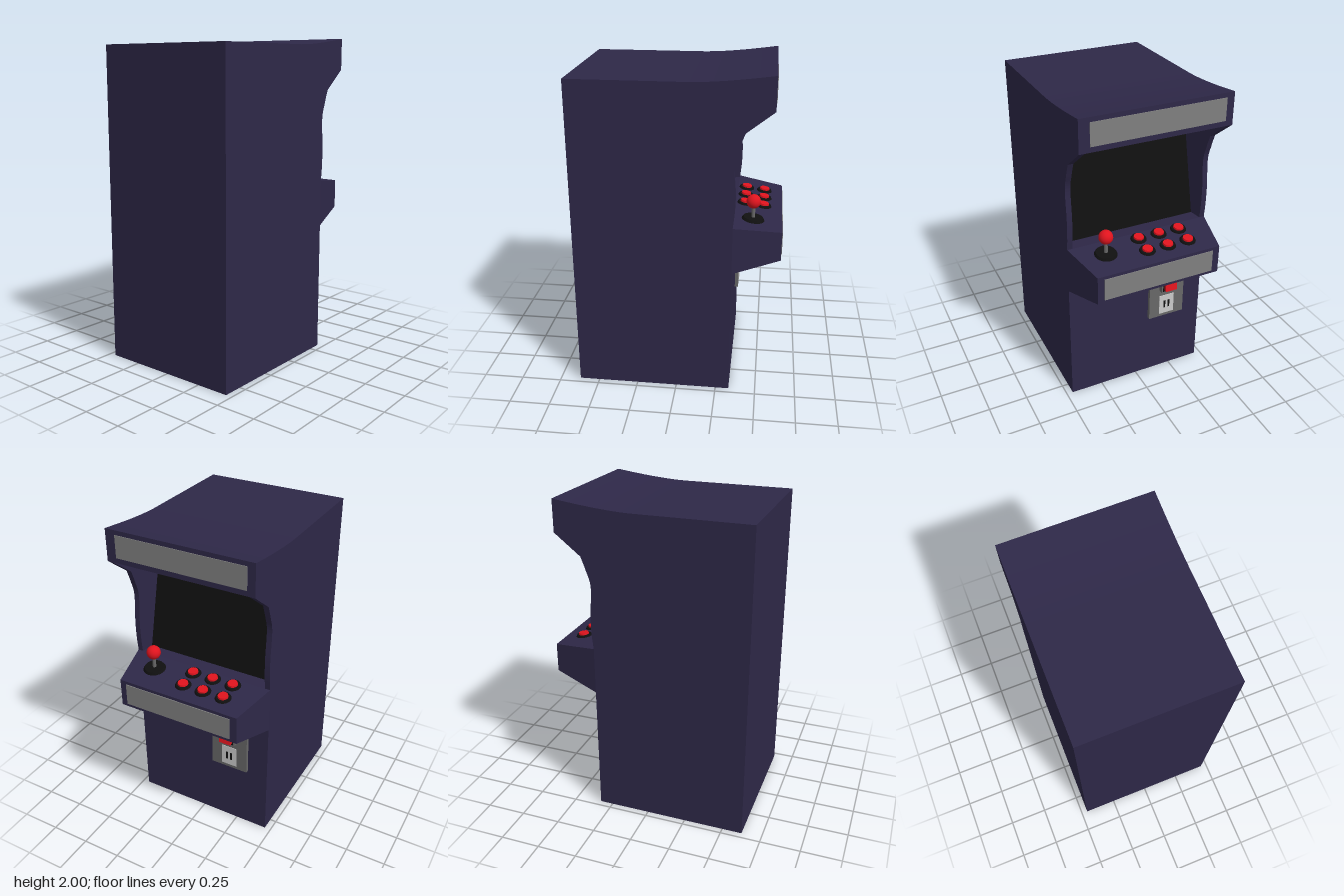
import * as THREE from 'three';

const paint = (color) => new THREE.MeshStandardMaterial({ color });
const navy = paint(0x2e2848);
const black = paint(0x101010);
const red = paint(0xe0141e);
const panelGrey = paint(0x808080);
const darkGrey = paint(0x686868);
const metal = paint(0xcccccc);

function add(parent, name, geometry, material, x = 0, y = 0, z = 0) {
  const mesh = new THREE.Mesh(geometry, material);
  mesh.name = name;
  mesh.position.set(x, y, z);
  parent.add(mesh);
  return mesh;
}

const box = (w, h, d) => new THREE.BoxGeometry(w, h, d);

// Extrudes a side profile along z, centred on z = 0
function slab(shape, depth) {
  const g = new THREE.ExtrudeGeometry(shape, { depth, bevelEnabled: false, curveSegments: 6 });
  return g.translate(0, 0, -depth / 2);
}

const v = (points) => points.map(([x, y]) => new THREE.Vector2(x, y));

// Shared outline of the base, back and gently rising roof
function finishProfile(shape) {
  shape.lineTo(0.55, 2);
  shape.quadraticCurveTo(0.25, 1.957, 0.08, 1.955);
  shape.lineTo(-0.625, 1.955);
  shape.closePath();
  return shape;
}

function startProfile() {
  const shape = new THREE.Shape();
  shape.moveTo(-0.625, 0);
  shape.lineTo(0.333, 0);
  return shape;
}

export function createModel() {
  const model = new THREE.Group();
  model.name = 'arcadeCabinet';

  const half = 0.46, wall = 0.033, inner = 2 * (half - wall);

  // Side walls with the curved front edge beside the screen
  const side = startProfile();
  side.lineTo(0.333, 1.11);
  side.splineThru(v([[0.342, 1.2], [0.344, 1.32], [0.333, 1.5], [0.36, 1.6], [0.39, 1.68]]));
  side.lineTo(0.55, 1.805);
  finishProfile(side);
  for (const s of [-1, 1]) {
    add(model, s > 0 ? 'leftWall' : 'rightWall', slab(side, wall), navy, 0, 0, s * (half - wall / 2));
  }

  // Body between the walls: recessed screen slope and hollow under the header
  const screenLow = [0.23, 1.095], screenHigh = [0.09, 1.7];
  const core = startProfile();
  core.lineTo(0.333, 1.108);
  core.lineTo(...screenLow);
  core.lineTo(...screenHigh);
  core.lineTo(0.26, 1.76);
  core.splineThru(v([[0.33, 1.8], [0.39, 1.82], [0.47, 1.815], [0.55, 1.805]]));
  finishProfile(core);
  add(model, 'body', slab(core, inner), navy);

  // Screen lying on the slope
  const dx = screenHigh[0] - screenLow[0], dy = screenHigh[1] - screenLow[1];
  const screen = add(model, 'screen', box(0.01, Math.hypot(dx, dy), inner - 0.002), black,
    (screenLow[0] + screenHigh[0]) / 2, (screenLow[1] + screenHigh[1]) / 2, 0);
  screen.rotation.z = Math.atan2(-dx, dy);

  // Control shelf, narrowing toward its front edge
  const shelf = slab(new THREE.Shape(v([[0.333, 0.815], [0.62, 0.89], [0.62, 1.07], [0.333, 1.108]])), 2 * half);
  const p = shelf.attributes.position;
  for (let i = 0; i < p.count; i++) {
    p.setZ(i, p.getZ(i) * (1 - 0.14 * (p.getX(i) - 0.333) / 0.287));
  }
  shelf.computeVertexNormals();
  add(model, 'controlShelf', shelf, navy);

  // Plain panels on the header and the shelf
  add(model, 'headerPanel', box(0.008, 0.135, 0.81), panelGrey, 0.55, 1.905, -0.008);
  add(model, 'shelfPanel', box(0.01, 0.14, 0.705), panelGrey, 0.62, 0.98, 0.002);

  // Controls stand on the sloping shelf top
  const controls = new THREE.Group();
  controls.name = 'controls';
  controls.position.set(0.333, 1.108, 0);
  controls.rotation.z = -Math.atan2(0.038, 0.287);
  model.add(controls);

  const disc = (r1, r2, h) => new THREE.CylinderGeometry(r1, r2, h, 24);
  for (const x of [0.055, 0.172]) {
    for (const z of [0.025, -0.11, -0.245]) {
      add(controls, 'buttonRing', disc(0.044, 0.05, 0.012), black, x, 0.005, z);
      add(controls, 'button', disc(0.03, 0.034, 0.022), red, x, 0.011, z);
    }
  }

  // Joystick
  const stick = new THREE.Group();
  stick.name = 'joystick';
  stick.position.set(0.445, 1.09, 0.265);
  model.add(stick);
  const base = add(stick, 'joystickBase', disc(0.06, 0.072, 0.02), black, 0, 0.008, 0);
  base.rotation.z = controls.rotation.z;
  add(stick, 'joystickShaft', disc(0.011, 0.011, 0.11), darkGrey, 0, 0.06, 0);
  add(stick, 'joystickBall', new THREE.SphereGeometry(0.043, 24, 16), red, 0, 0.118, 0);

  // Coin door
  const door = new THREE.Group();
  door.name = 'coinDoor';
  door.position.set(0.333, 0, -0.204);
  model.add(door);
  add(door, 'doorPlate', box(0.022, 0.37, 0.245), darkGrey, 0.011, 0.624, 0);
  add(door, 'returnHousing', box(0.04, 0.135, 0.11), darkGrey, 0.038, 0.717, 0);
  add(door, 'returnBezel', box(0.004, 0.118, 0.094), black, 0.058, 0.717, 0);
  const wedge = new THREE.Shape(v([[0.05, 0.67], [0.084, 0.67], [0.07, 0.765], [0.05, 0.765]]));
  add(door, 'returnButton', slab(wedge, 0.078), red);
  add(door, 'slotPlate', box(0.006, 0.14, 0.104), metal, 0.022, 0.53, 0);
  for (const z of [-0.015, 0.015]) {
    add(door, 'coinSlot', box(0.004, 0.055, 0.012), black, 0.0245, 0.53, z);
  }

  return model;
}
